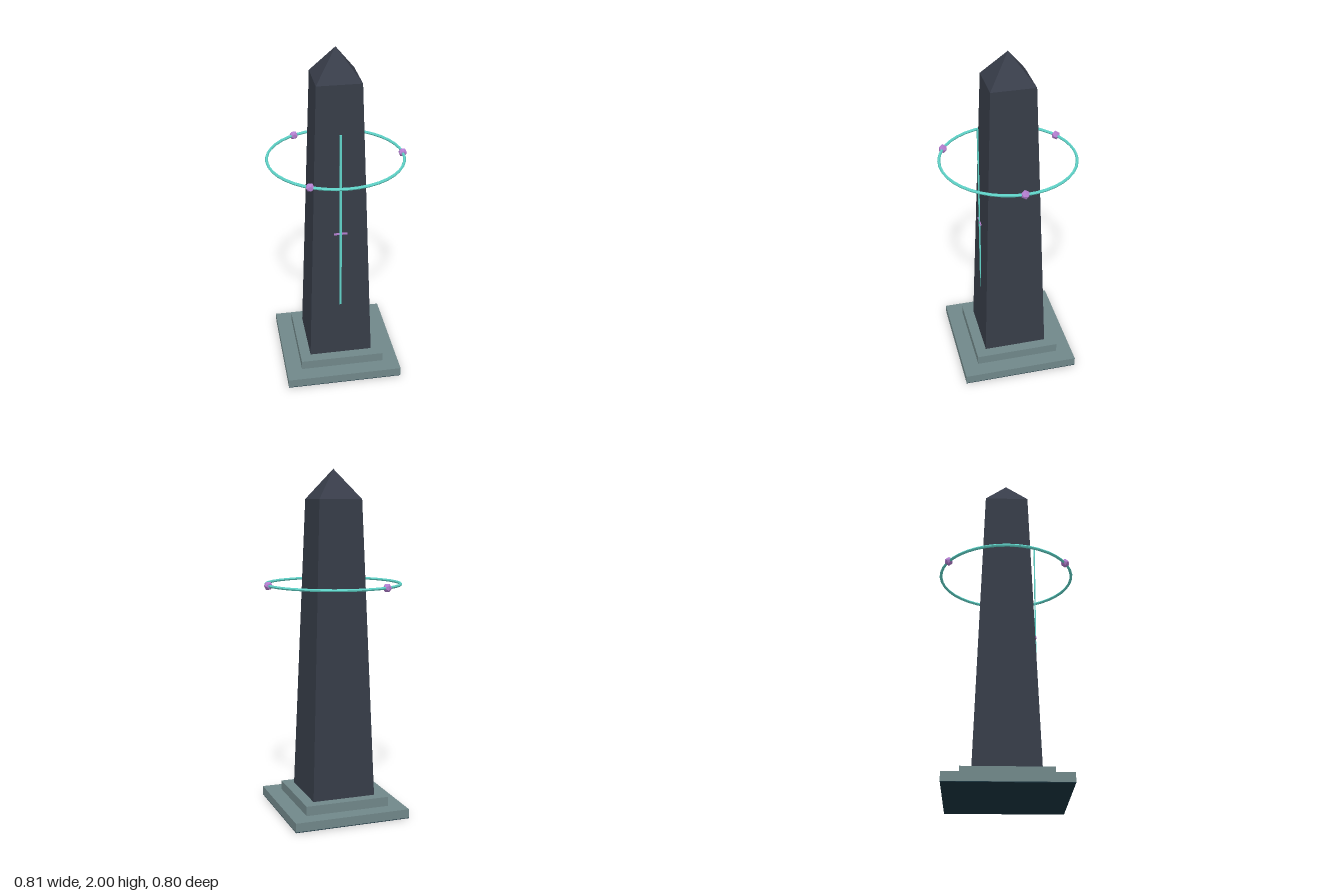
import * as THREE from 'three';

const mat = (name, color, flatShading = true) => {
  const m = new THREE.MeshStandardMaterial({ color, flatShading });
  m.name = name;
  return m;
};

export function createModel() {
  const stone = mat('dark stone', 0x363c47);
  const capStone = mat('cap stone', 0x383d4a);
  const plinth = mat('grey green plinth', 0x708789);
  const underside = mat('dark teal underside', 0x18323d);
  const teal = mat('glowing teal', 0x5fd3c8);
  const violet = mat('violet crystal', 0xb47fd0);

  const group = new THREE.Group();
  const CX = -0.007; // obelisk axis; the ring's gem reaches further on +x
  const add = (name, geometry, material, x, y, z) => {
    const mesh = new THREE.Mesh(geometry, material);
    mesh.name = name;
    mesh.position.set(CX + x, y, z);
    group.add(mesh);
    return mesh;
  };
  // square frustum given by half widths, with sides facing the axes
  const frustum = (top, bottom, height) =>
    new THREE.CylinderGeometry(top * Math.SQRT2, bottom * Math.SQRT2, height, 4, 1).rotateY(Math.PI / 4);

  // stepped base
  add('undersidePlate', new THREE.BoxGeometry(0.686, 0.004, 0.686), underside, 0, 0.002, 0);
  add('lowerStep', new THREE.BoxGeometry(0.687, 0.051, 0.687), plinth, 0, 0.0295, 0);
  add('upperStep', new THREE.BoxGeometry(0.5, 0.055, 0.5), plinth, 0, 0.0825, 0);

  // tapered shaft and pyramid cap
  add('shaft', frustum(0.127, 0.188, 1.72), stone, 0, 0.97, 0);
  add('cap', new THREE.ConeGeometry(0.127 * Math.SQRT2, 0.17, 4).rotateY(Math.PI / 4), capStone, 0, 1.915, 0);

  // upright line and short cross mark on the front
  add('frontLine', new THREE.BoxGeometry(0.013, 1.105, 0.007), teal, 0, 1.0075, 0.1723);
  add('crossMark', new THREE.BoxGeometry(0.077, 0.01, 0.006), violet, 0, 0.943, 0.172);

  // floating ring with three crystals
  const ringY = 1.347, ringR = 0.39;
  add('ring', new THREE.TorusGeometry(ringR, 0.0085, 6, 40).rotateX(-Math.PI / 2), teal, 0, ringY, 0);
  for (let i = 0; i < 3; i++) {
    const a = (i * Math.PI * 2) / 3;
    add('crystal' + (i + 1), new THREE.IcosahedronGeometry(0.026, 0), violet,
      Math.cos(a) * ringR, ringY, Math.sin(a) * ringR);
  }
  return group;
}
